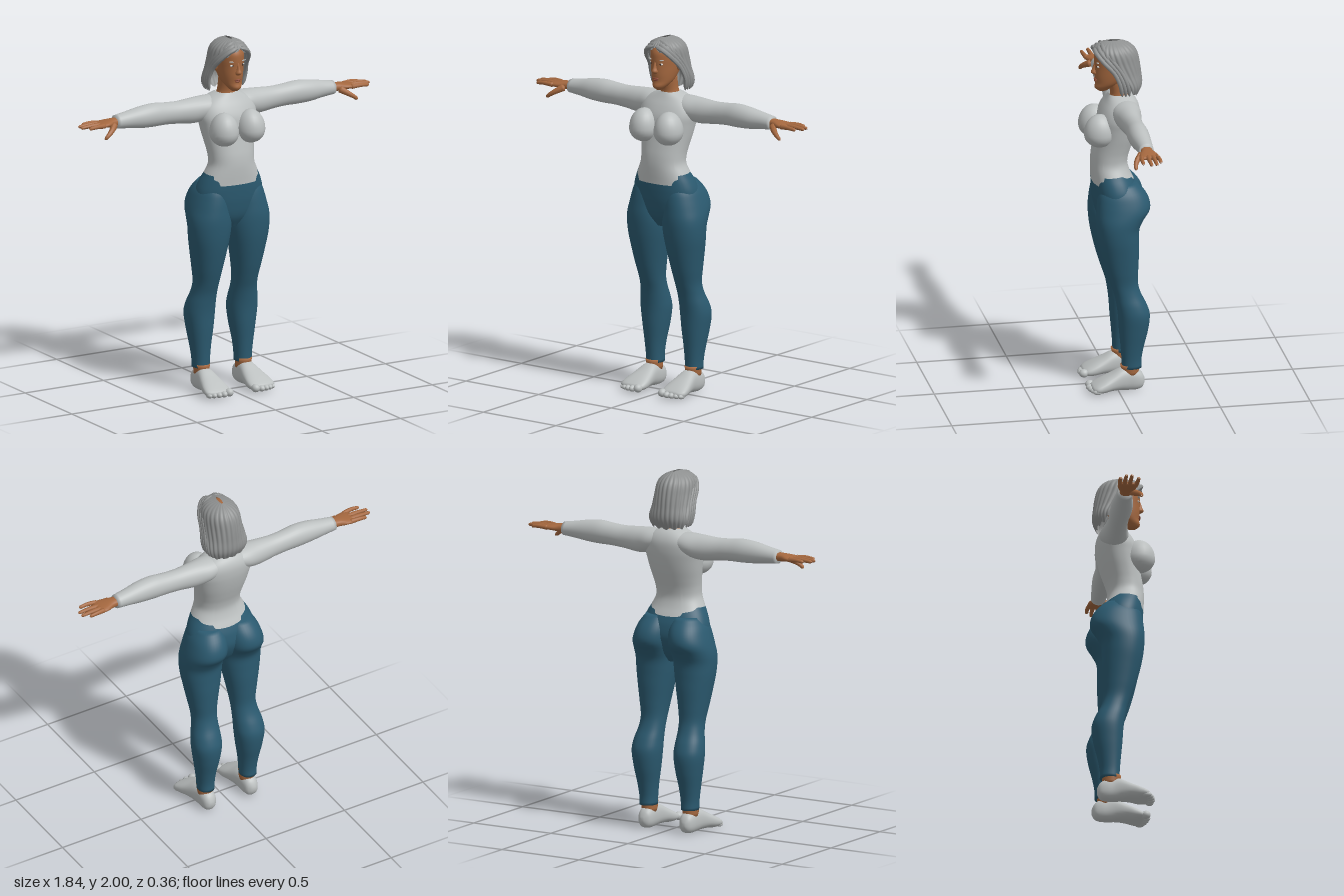
import * as THREE from 'three';

const mat = (name, color) => Object.assign(new THREE.MeshStandardMaterial({ color }), { name });

// Smooth interpolation through rows [t, a, b, ...] with t increasing
function sample(rows, t) {
  let i = 0;
  while (i < rows.length - 2 && t > rows[i + 1][0]) i++;
  const p = rows[i], q = rows[i + 1], o = rows[i - 1] || p, r = rows[i + 2] || q;
  const h = q[0] - p[0], s = THREE.MathUtils.clamp((t - p[0]) / h, 0, 1);
  return p.slice(1).map((a, k) => {
    const b = q[k + 1];
    const m = (b - o[k + 1]) / (q[0] - o[0]) * h, n = (r[k + 1] - a) / (r[0] - p[0]) * h;
    return a + s * (m + s * (3 * (b - a) - 2 * m - n + s * (2 * (a - b) + m + n)));
  });
}

// Straight-line lookup in rows [degrees, value], mirrored about the front
function around(rows, angle) {
  const d = Math.abs(angle > Math.PI ? angle - 2 * Math.PI : angle) * 180 / Math.PI;
  let i = 0;
  while (i < rows.length - 2 && d > rows[i + 1][0]) i++;
  return THREE.MathUtils.mapLinear(d, rows[i][0], rows[i + 1][0], rows[i][1], rows[i + 1][1]);
}

// Skin over rounded sections [t, a0, a1, b0, b1] along an axis (0 x, 1 y, 2 z);
// a and b are the next two axes. lo and hi may vary with the angle.
function loft(axis, rows, { nu = 32, nv = 32, e = 1, lo, hi, ridge, caps = true } = {}) {
  const pos = [], index = [], A = (axis + 1) % 3, B = (axis + 2) % 3;
  const round = c => Math.sign(c) * Math.abs(c) ** e;
  for (let j = 0; j <= nv; j++) for (let i = 0; i < nu; i++) {
    const u = i / nu * Math.PI * 2;
    const t0 = lo ? lo(u) : rows[0][0], t1 = hi ? hi(u) : rows[rows.length - 1][0];
    const t = t0 + (t1 - t0) * j / nv, [a0, a1, b0, b1] = sample(rows, t), p = [0, 0, 0];
    const k = ridge ? ridge(u, t) : 1;
    p[axis] = t;
    p[A] = (a0 + a1) / 2 + (a1 - a0) / 2 * round(Math.cos(u)) * k;
    p[B] = (b0 + b1) / 2 + (b1 - b0) / 2 * round(Math.sin(u)) * k;
    pos.push(...p);
    if (j < nv) {
      const a = j * nu + i, b = j * nu + (i + 1) % nu;
      index.push(a, b, b + nu, a, b + nu, a + nu);
    }
  }
  if (caps) [0, nv].forEach((j, end) => {
    const r = rows[end ? rows.length - 1 : 0], c = pos.length / 3, p = [0, 0, 0];
    p[axis] = r[0]; p[A] = (r[1] + r[2]) / 2; p[B] = (r[3] + r[4]) / 2;
    pos.push(...p);
    for (let i = 0; i < nu; i++) {
      const a = j * nu + i, b = j * nu + (i + 1) % nu;
      index.push(...(end ? [c, a, b] : [c, b, a]));
    }
  });
  const g = new THREE.BufferGeometry();
  g.setAttribute('position', new THREE.Float32BufferAttribute(pos, 3));
  g.setIndex(index);
  g.computeVertexNormals();
  return g;
}

const ball = (x, y, z, rx, ry, rz, tilt = 0) =>
  new THREE.SphereGeometry(1, 24, 16).scale(rx, ry, rz).rotateZ(tilt).translate(x, y, z);

// Tapering round strand through points
function strand(points, r0, r1, flat = 1) {
  const curve = new THREE.CatmullRomCurve3(points.map(p => new THREE.Vector3(...p)));
  const n = 14, m = 10, g = new THREE.TubeGeometry(curve, n, 1, m), p = g.attributes.position;
  for (let j = 0; j <= n; j++) {
    const c = curve.getPointAt(j / n), r = (r0 + (r1 - r0) * j / n) * (j === 0 || j === n ? 0.3 : 1);
    for (let i = 0; i <= m; i++) {
      const k = j * (m + 1) + i;
      p.setXYZ(k, c.x + (p.getX(k) - c.x) * r, c.y + (p.getY(k) - c.y) * r * flat, c.z + (p.getZ(k) - c.z) * r);
    }
  }
  g.computeVertexNormals();
  return g;
}

function mirrored(g) {
  const m = g.clone().scale(-1, 1, 1), ix = m.index.array;
  for (let i = 0; i < ix.length; i += 3) [ix[i], ix[i + 1]] = [ix[i + 1], ix[i]];
  m.computeVertexNormals();
  return m;
}

export function createModel() {
  const model = new THREE.Group();
  const skin = mat('skin', 0xa5683f), shirt = mat('shirt', 0xbcc0c0), trousers = mat('trousers', 0x2b5a70);
  const hair = mat('hair', 0x8e9090), lip = mat('lips', 0x8a4a36), white = mat('eyeWhite', 0xd8d8d4);
  const iris = mat('iris', 0x3a2a22), brow = mat('brows', 0xb4b4b0);
  hair.side = THREE.DoubleSide;
  const add = (name, g, m) => {
    const mesh = new THREE.Mesh(g, m);
    mesh.name = name;
    model.add(mesh);
  };
  const pair = (name, g, m) => {
    add(name + 'Left', g, m);
    add(name + 'Right', mirrored(g), m);
  };

  // Torso and hips share one surface, split along the waistline
  const body = [[0.94, -0.06, 0.06, 0.05], [1, -0.1, 0.095, 0.16], [1.08, -0.13, 0.113, 0.2], [1.15, -0.125, 0.12, 0.197],
    [1.2, -0.108, 0.122, 0.18], [1.25, -0.085, 0.125, 0.154], [1.3, -0.073, 0.126, 0.132], [1.35, -0.08, 0.122, 0.132],
    [1.4, -0.096, 0.113, 0.14], [1.46, -0.115, 0.102, 0.153], [1.52, -0.13, 0.097, 0.165], [1.57, -0.138, 0.088, 0.174],
    [1.62, -0.138, 0.066, 0.165], [1.655, -0.125, 0.045, 0.13], [1.678, -0.105, 0.032, 0.085], [1.69, -0.085, 0.025, 0.055]]
    .map(([y, z0, z1, w]) => [y, z0, z1, -w, w]);
  const waist = u => around([[0, 1.19], [37, 1.19], [41, 1.215], [55, 1.225], [60, 1.245], [110, 1.25], [125, 1.235],
    [150, 1.225], [156, 1.205], [180, 1.2]], u);
  add('torso', loft(1, body, { nu: 72, nv: 40, e: 0.9, lo: waist, caps: false }), shirt);
  add('hips', loft(1, body, { nu: 72, nv: 24, e: 0.9, hi: waist, caps: false }), trousers);

  // Bust: rounded below, sloping into the chest above
  const bust = ball(0, 0, 0, 0.08, 0.078, 0.088), bp = bust.attributes.position;
  for (let i = 0; i < bp.count; i++) if (bp.getY(i) > 0) bp.setY(i, bp.getY(i) * 1.4);
  bust.computeVertexNormals();
  pair('bust', bust.translate(0.084, 1.492, 0.092), shirt);

  // Legs, including the seat
  pair('leg', loft(1, [[0.13, -0.13, -0.022, 0.087, 0.181], [0.18, -0.13, -0.02, 0.085, 0.183], [0.25, -0.142, -0.015, 0.078, 0.192],
    [0.35, -0.166, -0.006, 0.062, 0.208], [0.44, -0.175, 0, 0.052, 0.219], [0.5, -0.157, 0.008, 0.053, 0.213],
    [0.56, -0.128, 0.02, 0.055, 0.199], [0.62, -0.112, 0.04, 0.053, 0.194], [0.7, -0.113, 0.066, 0.042, 0.206],
    [0.8, -0.117, 0.092, 0.024, 0.223], [0.88, -0.117, 0.108, 0.01, 0.236], [0.95, -0.121, 0.116, 0.002, 0.241],
    [1, -0.146, 0.118, 0, 0.24], [1.05, -0.179, 0.115, 0, 0.231], [1.1, -0.178, 0.11, 0, 0.217], [1.15, -0.154, 0.1, 0.005, 0.198],
    [1.2, -0.11, 0.075, 0.02, 0.165]], { nv: 72, nu: 40, e: 0.93 }), trousers);
  pair('ankle', loft(1, [[0.09, -0.115, -0.025, 0.09, 0.175], [0.148, -0.118, -0.012, 0.09, 0.178]], { nv: 3 }), skin);

  // Feet with toes
  pair('foot', loft(2, [[-0.145, 0.12, 0.15, 0.035, 0.07], [-0.132, 0.1, 0.166, 0.012, 0.098], [-0.1, 0.09, 0.176, 0, 0.12],
    [-0.05, 0.086, 0.18, 0, 0.132], [-0.015, 0.081, 0.187, 0.004, 0.128], [0.04, 0.07, 0.202, 0.005, 0.1],
    [0.09, 0.062, 0.215, 0, 0.075], [0.13, 0.066, 0.214, 0.005, 0.053], [0.15, 0.085, 0.185, 0.015, 0.04]], { e: 0.85 }), shirt);
  [[0.084, 0.148, 0.023], [0.119, 0.15, 0.018], [0.149, 0.145, 0.017], [0.176, 0.136, 0.016], [0.199, 0.124, 0.015]]
    .forEach(([x, z, r], i) => pair('toe' + (i + 1), ball(x, r + 0.004, z, r, r, 0.026), shirt));

  // Sleeves
  pair('arm', loft(0, [[0.04, 1.58, 1.672, -0.12, 0.01], [0.12, 1.545, 1.675, -0.13, 0.03], [0.2, 1.53, 1.672, -0.118, 0.018],
    [0.3, 1.54, 1.666, -0.106, 0.006], [0.38, 1.546, 1.67, -0.105, 0.006], [0.46, 1.546, 1.677, -0.106, 0.012],
    [0.54, 1.55, 1.67, -0.102, 0.01], [0.62, 1.56, 1.655, -0.096, -0.002], [0.695, 1.567, 1.642, -0.09, -0.01]],
    { nv: 40 }), shirt);

  // Hands
  pair('palm', loft(0, [[0.68, 1.582, 1.63, -0.08, -0.02], [0.72, 1.583, 1.628, -0.083, -0.012], [0.76, 1.588, 1.623, -0.098, 0.003],
    [0.8, 1.592, 1.617, -0.1, 0.007], [0.815, 1.597, 1.612, -0.094, 0.002]], { nu: 20, nv: 16, e: 0.85 }), skin);
  [[0.004, 0.892], [-0.036, 0.922], [-0.066, 0.92], [-0.094, 0.882]].forEach(([z, tip], i) =>
    pair('finger' + (i + 1), strand([[0.78, 1.604, -0.045 + (z + 0.045) * 0.82], [0.84, 1.608, z], [tip, 1.603, z]], 0.014, 0.009), skin));
  pair('thumb', strand([[0.715, 1.6, -0.02], [0.755, 1.575, 0.015], [0.785, 1.555, 0.028], [0.805, 1.538, 0.028]], 0.021, 0.009), skin);

  // Neck and head
  add('neck', loft(1, [[1.66, -0.1, 0.025, -0.06, 0.06], [1.7, -0.08, 0.018, -0.048, 0.048], [1.77, -0.07, 0.035, -0.046, 0.046]]), skin);
  add('head', loft(1, [[1.713, 0.035, 0.085, -0.018, 0.018], [1.732, 0.005, 0.105, -0.036, 0.036], [1.76, -0.04, 0.1, -0.054, 0.054],
    [1.8, -0.08, 0.104, -0.065, 0.065], [1.85, -0.105, 0.105, -0.072, 0.072], [1.89, -0.11, 0.107, -0.075, 0.075],
    [1.93, -0.105, 0.103, -0.074, 0.074], [1.965, -0.08, 0.075, -0.058, 0.058], [1.985, -0.04, 0.03, -0.02, 0.02]], { nu: 40 }), skin);
  add('nose', loft(1, [[1.806, 0.08, 0.108, -0.01, 0.01], [1.82, 0.08, 0.126, -0.018, 0.018], [1.84, 0.08, 0.119, -0.011, 0.011],
    [1.88, 0.08, 0.106, -0.008, 0.008]], { nu: 16, nv: 12 }), skin);
  add('upperLip', ball(0, 1.781, 0.099, 0.021, 0.005, 0.01), lip);
  add('lowerLip', ball(0, 1.772, 0.098, 0.018, 0.006, 0.01), lip);
  pair('eye', ball(0.031, 1.863, 0.091, 0.014, 0.006, 0.008), white);
  pair('iris', ball(0.031, 1.863, 0.097, 0.005, 0.005, 0.003), iris);
  pair('brow', ball(0.034, 1.885, 0.094, 0.02, 0.0035, 0.007, 0.12), brow);
  pair('ear', ball(0.077, 1.848, -0.012, 0.01, 0.03, 0.018), skin);

  // Hair: grooved shell with a hem that opens around the face
  const shell = [[1.69, -0.13, -0.01, 0.108], [1.75, -0.157, 0.02, 0.126], [1.82, -0.153, 0.075, 0.115], [1.88, -0.145, 0.112, 0.108],
    [1.93, -0.132, 0.12, 0.102], [1.96, -0.113, 0.112, 0.088], [1.985, -0.08, 0.085, 0.056], [2, -0.035, 0.035, 0.01]]
    .map(([y, z0, z1, w]) => [y, z0, z1, -w, w]);
  const hairline = u => around([[0, 1.955], [25, 1.935], [50, 1.9], [70, 1.87], [82, 1.86], [90, 1.74], [115, 1.705], [180, 1.695]], u)
    + 0.006 * Math.sin(u * 13);
  add('hairShell', loft(1, shell, { nu: 180, nv: 30, lo: hairline, caps: false,
    ridge: (u, y) => 1 - 0.045 * Math.abs(Math.sin(u * 13 + 14 * (y - 1.8) * Math.sin(u))) ** 3 }), hair);

  // Front locks swept from the parting to the sides
  for (let i = 0; i < 3; i++) {
    const k = i * 0.02;
    pair('frontLock' + (i + 1), strand([[0.006, 1.962 + k * 0.7, 0.108 - k], [0.05, 1.947 + k * 0.5, 0.104 - k], [0.088, 1.9 + k * 0.4, 0.066 - k],
      [0.106, 1.84, 0.012 - k], [0.117, 1.77, -0.018 - k], [0.106, 1.705, -0.03 - k]], 0.014, 0.011), hair);
  }
  return model;
}
